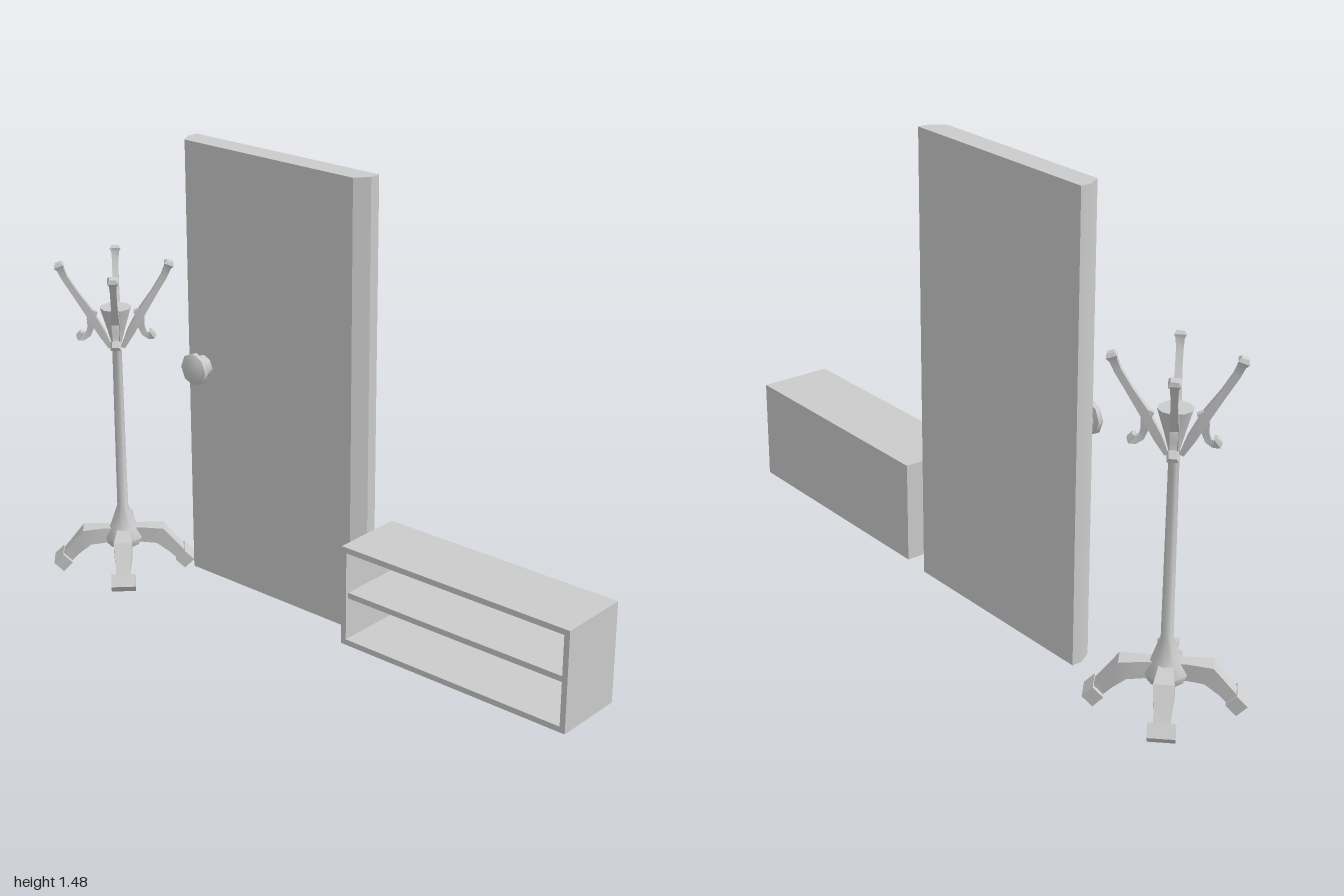
import * as THREE from 'three';
import { toCreasedNormals } from 'three/addons/utils/BufferGeometryUtils.js';

const material = new THREE.MeshStandardMaterial({ color: 0xcccccc });

function part(name, geometry, crease = 0.6) {
  const mesh = new THREE.Mesh(toCreasedNormals(geometry, crease), material);
  mesh.name = name;
  return mesh;
}

function box(name, w, h, d, x, y, z) {
  const mesh = part(name, new THREE.BoxGeometry(w, h, d));
  mesh.position.set(x, y, z);
  return mesh;
}

function lathe(name, profile, sides) {
  return part(name, new THREE.LatheGeometry(profile.map(([r, y]) => new THREE.Vector2(r, y)), sides), 0.9);
}

// Rectangular bar along a path in the x-y plane; stations are [x, y, half height, half width]
function bar(stations) {
  const pos = [], index = [], n = stations.length;
  stations.forEach(([x, y, h, w], i) => {
    const a = stations[Math.max(i - 1, 0)], b = stations[Math.min(i + 1, n - 1)];
    const len = Math.hypot(b[0] - a[0], b[1] - a[1]);
    const nx = -(b[1] - a[1]) / len * h, ny = (b[0] - a[0]) / len * h;
    pos.push(x + nx, y + ny, w, x + nx, y + ny, -w, x - nx, y - ny, -w, x - nx, y - ny, w);
    if (i === n - 1) return;
    for (let c = 0; c < 4; c++) {
      const p = i * 4 + c, q = i * 4 + (c + 1) % 4;
      index.push(p, p + 4, q + 4, p, q + 4, q);
    }
  });
  const e = (n - 1) * 4;
  index.push(0, 1, 2, 0, 2, 3, e, e + 2, e + 1, e, e + 3, e + 2);
  const g = new THREE.BufferGeometry();
  g.setAttribute('position', new THREE.Float32BufferAttribute(pos, 3));
  g.setIndex(index);
  return g;
}

function createCoatRack() {
  const rack = new THREE.Group();
  rack.name = 'coatRack';
  rack.position.x = -0.812;

  // Hub, pole and flared head in one turned piece
  rack.add(lathe('pole', [
    [0, 0.085], [0.055, 0.085], [0.065, 0.11], [0.045, 0.145], [0.018, 0.22],
    [0.015, 0.78], [0.028, 0.83], [0.05, 0.905], [0, 0.905],
  ], 10));

  const leg = bar([
    [0.01, 0.115, 0.028, 0.02], [0.06, 0.118, 0.026, 0.022],
    [0.12, 0.115, 0.028, 0.03], [0.165, 0.068, 0.02, 0.024], [0.2, 0.03, 0.018, 0.024],
  ]);
  const upperHook = bar([
    [0.02, 0.77, 0.006, 0.008], [0.045, 0.82, 0.012, 0.012], [0.083, 0.89, 0.013, 0.013],
    [0.125, 0.955, 0.01, 0.01], [0.155, 1.005, 0.01, 0.01],
    [0.168, 1.035, 0.011, 0.012], [0.172, 1.045, 0.016, 0.017], [0.175, 1.055, 0.01, 0.011],
  ]);
  const lowerHook = bar([
    [0.065, 0.895, 0.01, 0.01], [0.08, 0.865, 0.012, 0.012], [0.08, 0.84, 0.01, 0.01],
    [0.088, 0.818, 0.009, 0.009], [0.104, 0.808, 0.01, 0.011],
    [0.113, 0.813, 0.015, 0.016], [0.12, 0.82, 0.01, 0.011],
  ]);

  // Four legs and four double hooks on the diagonals
  for (let i = 0; i < 4; i++) {
    const arm = new THREE.Group();
    arm.name = 'legAndHooks' + (i + 1);
    arm.rotation.y = Math.PI / 4 + i * Math.PI / 2;
    const foot = box('foot', 0.043, 0.043, 0.078, 0.2, 0.031, 0);
    foot.rotation.z = Math.PI / 4;
    arm.add(part('leg', leg), foot, part('upperHook', upperHook), part('lowerHook', lowerHook));
    rack.add(arm);
  }
  return rack;
}

function createDoor() {
  const door = new THREE.Group();
  door.name = 'door';

  // Slab with bevelled front side edges
  const outline = [[-0.57, 0.135], [-0.57, 0.1], [-0.545, 0.058], [0.115, 0.058], [0.147, 0.1], [0.147, 0.135]];
  const shape = new THREE.Shape(outline.map(([x, s]) => new THREE.Vector2(x, s)));
  const slab = new THREE.ExtrudeGeometry(shape, { depth: 1.42, bevelEnabled: false });
  slab.rotateX(-Math.PI / 2).translate(0, 0.06, 0);
  door.add(part('doorSlab', slab));

  const knob = lathe('doorKnob', [
    [0.037, 0], [0.037, 0.028], [0.052, 0.034], [0.052, 0.05], [0.035, 0.062], [0, 0.066],
  ], 8);
  knob.rotation.x = Math.PI / 2;
  knob.position.set(-0.483, 0.77, -0.06);
  door.add(knob);
  return door;
}

function createShelf() {
  const shelf = new THREE.Group();
  shelf.name = 'shoeShelf';
  const t = 0.018, x = 0.597, w = 0.806, z = -0.043, d = 0.234;

  // Bottom, middle and top boards
  [0.09 + t / 2, 0.25, 0.41 - t / 2].forEach((y, i) =>
    shelf.add(box(['bottomBoard', 'middleBoard', 'topBoard'][i], i === 1 ? w - 2 * t : w, t, i === 1 ? d - 0.01 : d, x, y, i === 1 ? z - 0.005 : z)));
  for (const s of [-1, 1])
    shelf.add(box(s > 0 ? 'leftSide' : 'rightSide', t, 0.32 - 2 * t, d, x + s * (w - t) / 2, 0.25, z));
  shelf.add(box('backPanel', w - 2 * t, 0.32 - 2 * t, t, x, 0.25, z - (d - t) / 2));
  return shelf;
}

export function createModel() {
  const model = new THREE.Group();
  model.name = 'hallwaySet';
  model.add(createCoatRack(), createDoor(), createShelf());
  return model;
}
